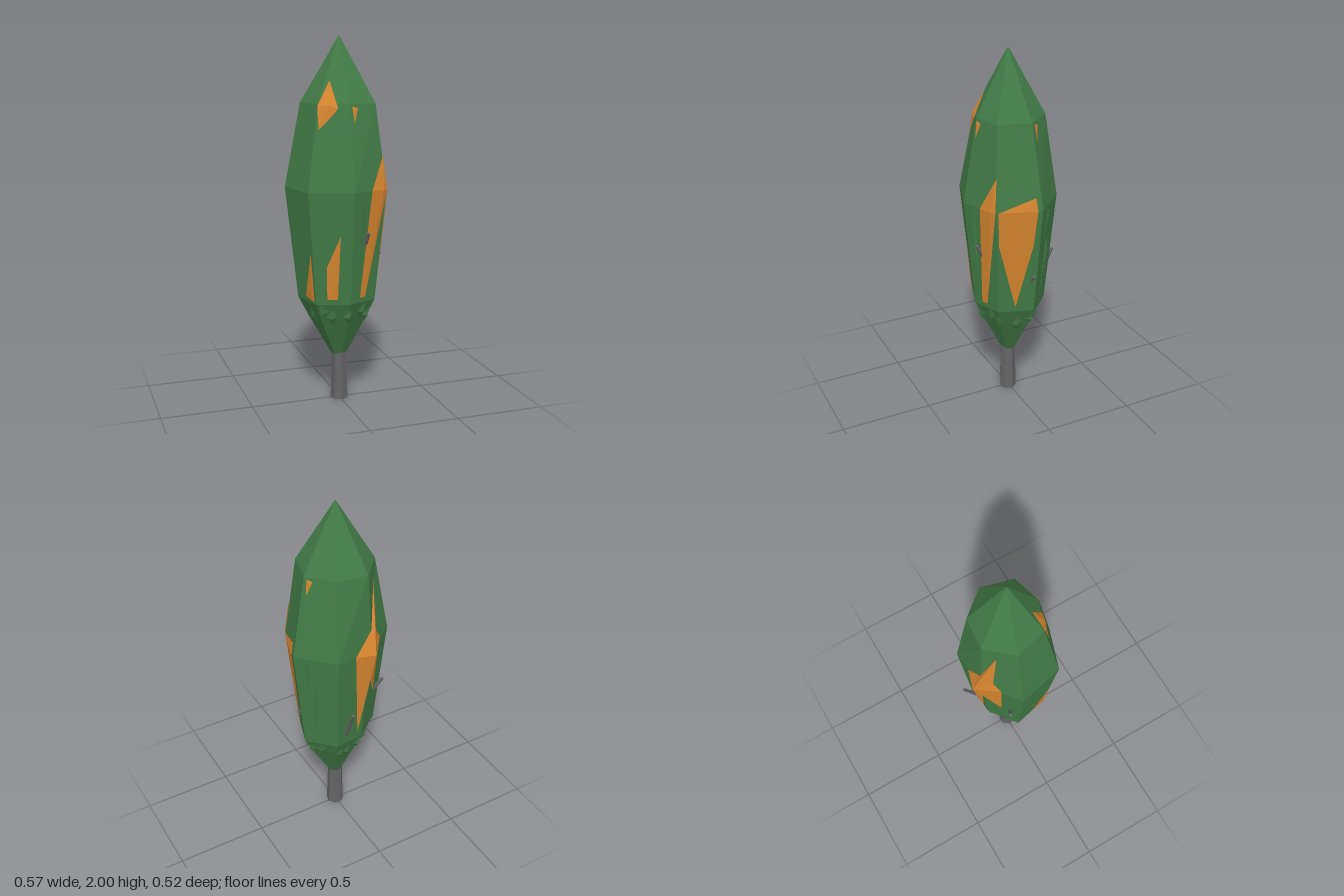
import * as THREE from 'three';

const material = (name, color, opts = {}) => {
  const m = new THREE.MeshStandardMaterial({ color, flatShading: true, ...opts });
  m.name = name;
  return m;
};

// Seven-sided cross-sections [x, z], ordered around the trunk from the back
const wide = [[-0.095, -0.21], [-0.285, -0.065], [-0.228, 0.183], [0, 0.26], [0.207, 0.172], [0.285, -0.06], [0.115, -0.233]];
const shoulder = [[-0.08, -0.187], [-0.2, -0.055], [-0.155, 0.12], [0, 0.18], [0.155, 0.137], [0.2, -0.035], [0.09, -0.17]];
const scaled = (s) => wide.map(([x, z]) => [x * s, z * s]);
const rings = [
  { y: 0.26, pts: scaled(0.15) },
  { y: 0.5, pts: scaled(0.61) },
  { y: 0.59, pts: scaled(0.77) },
  { y: 1.2, pts: wide },
  { y: 1.65, pts: shoulder },
  { y: 2, pts: scaled(0) },
];

function toGeometry(points) {
  const g = new THREE.BufferGeometry().setFromPoints(points);
  g.computeVertexNormals();
  return g;
}

// Loft the crown through its rings
function crownGeometry() {
  const tris = [];
  const at = (r, i) => {
    const [x, z] = rings[r].pts[i % 7];
    return new THREE.Vector3(x, rings[r].y, z);
  };
  for (let r = 0; r < rings.length - 1; r++) {
    for (let i = 0; i < 7; i++) {
      const a = at(r, i), b = at(r, i + 1), c = at(r + 1, i + 1), d = at(r + 1, i);
      tris.push(a, b, c);
      if (r < rings.length - 2) tris.push(a, c, d);
    }
  }
  for (let i = 1; i < 6; i++) tris.push(at(0, 0), at(0, i + 1), at(0, i));
  return toGeometry(tris);
}

// Point on the crown at an angle (degrees, 0 = front, 90 = +x) and height, pushed outward
function onCrown(deg, y, out = 0) {
  let k = 0;
  while (k < rings.length - 2 && y > rings[k + 1].y) k++;
  const lo = rings[k], hi = rings[k + 1];
  const t = (y - lo.y) / (hi.y - lo.y);
  const poly = lo.pts.map(([x, z], i) => [x + (hi.pts[i][0] - x) * t, z + (hi.pts[i][1] - z) * t]);
  const a = THREE.MathUtils.degToRad(deg), dx = Math.sin(a), dz = Math.cos(a);
  let radius = 0;
  poly.forEach(([x, z], i) => {
    const [x2, z2] = poly[(i + 1) % 7];
    const ex = x2 - x, ez = z2 - z;
    const den = dx * ez - dz * ex;
    if (Math.abs(den) < 1e-9) return;
    const r = (x * ez - z * ex) / den;
    const s = (x * dz - z * dx) / den;
    if (r > 0 && s >= -1e-6 && s <= 1 + 1e-6) radius = Math.max(radius, r);
  });
  return new THREE.Vector3(dx * (radius + out), y, dz * (radius + out));
}

// Faceted patch: a fan from a raised centre to a rim lying on the crown
function patchGeometry(centre, rim, lift = 0.005) {
  const c = onCrown(...centre);
  const pts = rim.map(([deg, y]) => onCrown(deg, y, lift));
  return toGeometry(pts.flatMap((p, i) => [c, p, pts[(i + 1) % pts.length]]));
}

export function createModel() {
  const green = material('leafGreen', 0x427b46);
  const greenSliver = green;
  green.side = THREE.DoubleSide;
  const orange = material('autumnOrange', 0xd6852f, { side: THREE.DoubleSide });
  const grey = material('barkGrey', 0x646366);

  const tree = new THREE.Group();
  tree.name = 'tree';
  const add = (name, geometry, mat) => {
    const mesh = new THREE.Mesh(geometry, mat);
    mesh.name = name;
    tree.add(mesh);
    return mesh;
  };

  add('crown', crownGeometry(), green);
  const trunk = add('trunk', new THREE.CylinderGeometry(0.04, 0.049, 0.32, 7), grey);
  trunk.position.set(0, 0.16, 0.004);

  // Orange foliage showing through the crown: [angle, height, lift] centre, then rim
  const patches = {
    frontRightPatch: [[44, 1.2, 0.012], [[50, 1.38], [27, 1.2], [17, 0.62], [28, 0.62], [50, 1.2]]],
    sidePatch: [[80, 1.2, 0.008], [[53, 1.2], [53, 1.0], [75, 0.62], [95, 1.0], [97, 1.2], [96, 1.27]]],
    frontLowPatch: [[-26, 0.72, 0.008], [[-16, 0.97], [-35, 0.8], [-36, 0.62], [-20, 0.62]]],
    leftLowPatch: [[-60, 0.66, 0.008], [[-54, 0.88], [-76, 0.62], [-53, 0.6]]],
    topPatch: [[-35, 1.645, 0.012], [[-42, 1.77], [-52, 1.64], [-47, 1.52], [-27, 1.6], [-20, 1.63]]],
    topFrontFleck: [[7, 1.62, 0.008], [[3, 1.64], [6, 1.55], [14, 1.63]]],
    topSideFleck: [[109, 1.62, 0.008], [[105, 1.64], [107, 1.55], [114, 1.63]]],
    backPatch: [[-160, 1.2, 0.05], [[-135, 1.58], [-156, 1.33], [-182, 1.2], [-167, 0.64],
      [-156, 1.05], [-128, 0.85], [-127, 1.22], [-138, 1.28]]],
  };
  for (const [name, [centre, rim]] of Object.entries(patches)) add(name, patchGeometry(centre, rim), orange);

  // Narrow green leaf slivers
  [[15, 0.77, 1.22], [115, 0.98, 1.18], [122, 0.66, 1.02]].forEach(([deg, low, high]) => {
    const mid = (low + high) / 2;
    add('leafSliver', patchGeometry([deg, mid + 0.1, 0.018],
      [[deg - 2, low], [deg + 3, high], [deg + 1, mid]], 0.001), greenSliver);
  });

  // Jagged skirt of leaves under the crown
  for (let i = 0; i < 14; i++) {
    const deg = i * 25.7 + 6 * Math.sin(i * 2.3);
    const y = 0.5 + 0.025 * Math.sin(i * 1.7);
    add('skirtLeaf', patchGeometry([deg, y, 0.016],
      [[deg - 10, y + 0.01], [deg + 4, y - 0.04], [deg + 11, y + 0.02], [deg + 2, y + 0.06]], 0.001), greenSliver);
  }

  // Twigs poking out, from base to tip
  [
    [[0.03, 0.64, -0.165], [0.037, 0.845, -0.253]],
    [[0.08, 0.87, 0.17], [0.087, 0.98, 0.228]],
    [[0.19, 0.74, -0.025], [0.25, 0.81, -0.03]],
    [[-0.17, 0.8, -0.08], [-0.235, 0.9, -0.112]],
  ].forEach(([from, to]) => {
    const a = new THREE.Vector3(...from), b = new THREE.Vector3(...to);
    const dir = b.clone().sub(a);
    const twig = add('twig', new THREE.CylinderGeometry(0.009, 0.012, dir.length(), 5), grey);
    twig.position.copy(a).add(b).multiplyScalar(0.5);
    twig.quaternion.setFromUnitVectors(new THREE.Vector3(0, 1, 0), dir.normalize());
  });

  return tree;
}
